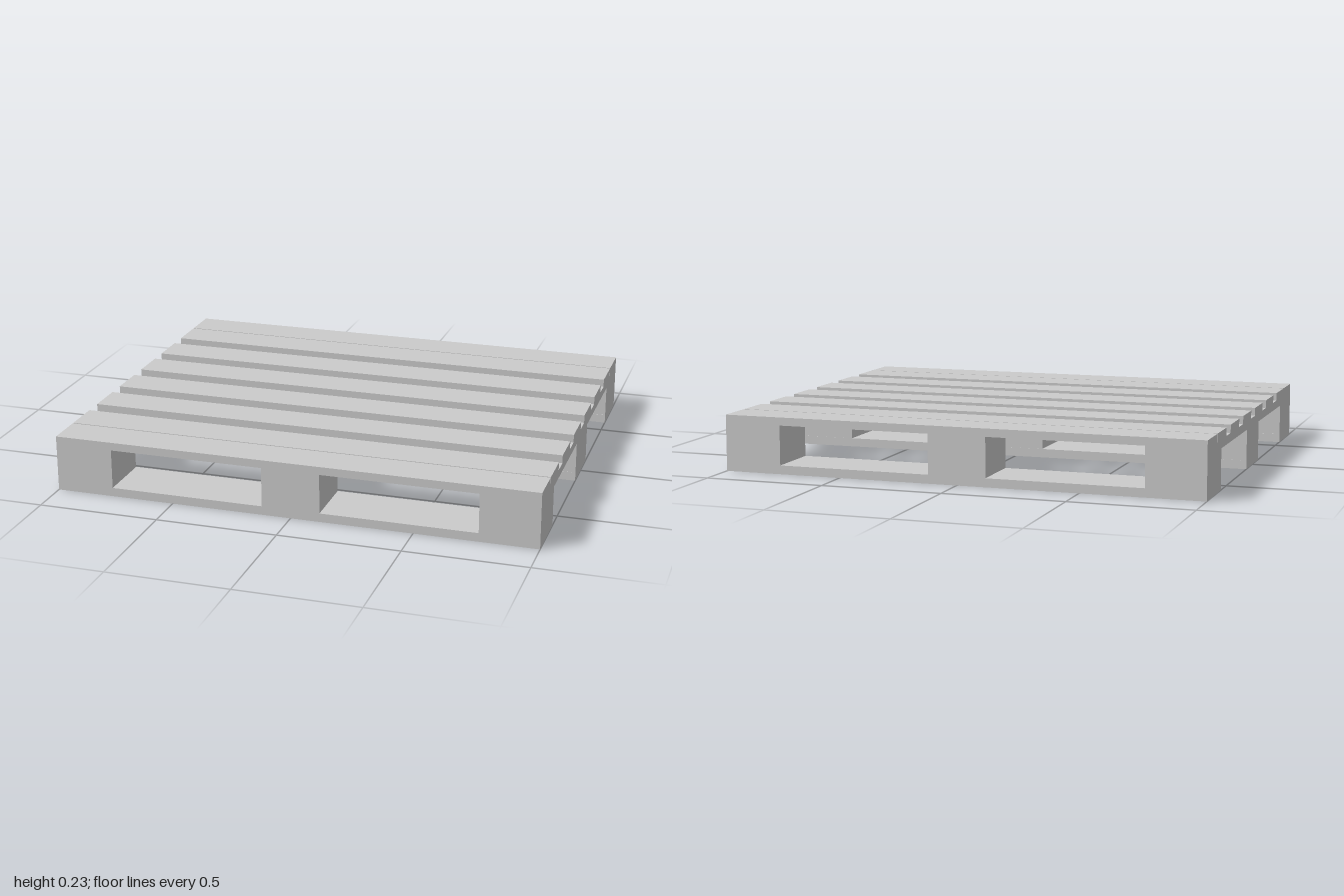
import * as THREE from 'three';

export function createModel() {
  const pallet = new THREE.Group();
  pallet.name = 'pallet';
  const wood = new THREE.MeshStandardMaterial({ color: 0xcccccc, flatShading: true });

  // Box given by its size, centre x/z and bottom height
  function plank(name, w, h, d, x, bottom, z) {
    const mesh = new THREE.Mesh(new THREE.BoxGeometry(w, h, d), wood);
    mesh.name = name;
    mesh.position.set(x, bottom + h / 2, z);
    pallet.add(mesh);
  }

  const columns = [-0.88, 0, 0.88];
  const rows = [-0.712, 0, 0.712];

  // Bottom runners along x, with spacer blocks on top
  for (const z of rows) {
    plank('bottomBoard', 2, 0.036, 0.238, 0, 0, z);
    for (const x of columns) plank('block', 0.24, 0.128, 0.236, x, 0.036, z + Math.sign(z) * 0.001);
  }

  // Cross boards along z, tying the blocks together
  for (const x of columns) plank('crossBoard', 0.24, 0.035, 1.662, x, 0.164, 0);

  // Deck boards along x, mirrored front to back
  for (const z of [0.118, 0.353, 0.588, 0.752]) {
    for (const side of [1, -1]) plank('deckBoard', 2, 0.033, 0.158, 0, 0.199, side * z);
  }
  return pallet;
}
